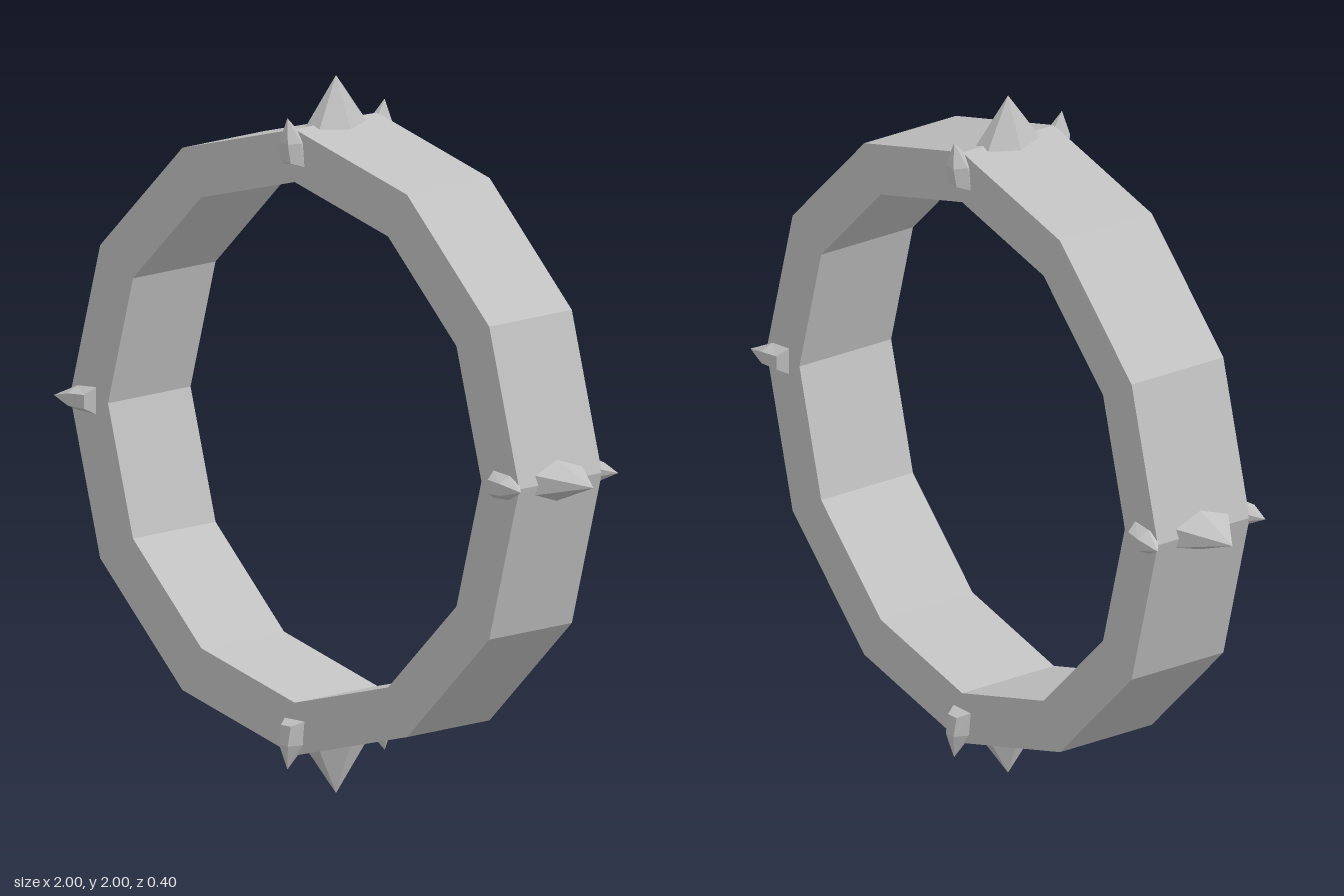
import * as THREE from 'three';

const SIDES = 12, OUTER = 0.872, INNER = 0.725, HALF = 0.158;

// Twelve-sided outline with a corner at the top
function polygon(target, radius) {
  const pts = [];
  for (let i = 0; i < SIDES; i++) {
    const a = (i / SIDES) * Math.PI * 2;
    pts.push(new THREE.Vector2(Math.cos(a) * radius, Math.sin(a) * radius));
  }
  return target.setFromPoints(pts);
}

// Small stud pointing along +y, lying against the front face of the ring
function studGeometry() {
  const outline = [[1, 0], [0.5, -1], [-0.5, -1], [-1, 0], [-0.5, 1], [0.5, 1]];
  const sections = [ // distance from centre, slope, half width, z centre, half depth
    [0.772, 0.35, 0.038, 0.158, 0.034],
    [0.838, 0, 0.034, 0.164, 0.037],
  ];
  const pos = [], index = [];
  for (const [r, slope, w, z, d] of sections)
    for (const [u, v] of outline) pos.push(u * w, r + slope * v * d, z + v * d);
  pos.push(0, 0.907, 0.186, 0, 0.772, 0.158); // tip and base centre
  for (let i = 0; i < 6; i++) {
    const j = (i + 1) % 6;
    index.push(i, j, 6 + j, i, 6 + j, 6 + i, 6 + i, 6 + j, 12, j, i, 13);
  }
  const g = new THREE.BufferGeometry();
  g.setAttribute('position', new THREE.Float32BufferAttribute(pos, 3));
  g.setIndex(index);
  const flat = g.toNonIndexed();
  flat.computeVertexNormals();
  return flat;
}

export function createModel() {
  const model = new THREE.Group();
  model.name = 'spikedRing';
  const metal = new THREE.MeshStandardMaterial({ color: 0xc0c0c0, flatShading: true });
  metal.name = 'grey metal';

  // Faceted band
  const shape = polygon(new THREE.Shape(), OUTER);
  shape.holes.push(polygon(new THREE.Path(), INNER));
  const band = new THREE.ExtrudeGeometry(shape, { depth: HALF * 2, bevelEnabled: false });
  band.translate(0, 1, -HALF);
  const ring = new THREE.Mesh(band, metal);
  ring.name = 'ring';
  model.add(ring);

  // Flattened six-sided rim spike, its base sunk in the band
  const spike = new THREE.ConeGeometry(0.115, 0.15, 6);
  spike.rotateY(Math.PI / 6);
  spike.scale(0.52, 1, 1);
  // wide side runs along z
  spike.translate(0, 0.925, 0);
  const stud = studGeometry();

  // Four sets: one rim spike with a stud on either face
  for (let i = 0; i < 4; i++) {
    const set = new THREE.Group();
    set.name = 'spikeSet' + (i + 1);
    set.position.y = 1;
    set.rotation.z = (i * Math.PI) / 2;
    const rim = new THREE.Mesh(spike, metal);
    rim.name = 'rimSpike';
    const front = new THREE.Mesh(stud, metal);
    front.name = 'frontStud';
    const back = new THREE.Mesh(stud, metal);
    back.name = 'backStud';
    back.rotation.y = Math.PI;
    set.add(rim, front, back);
    model.add(set);
  }
  return model;
}
